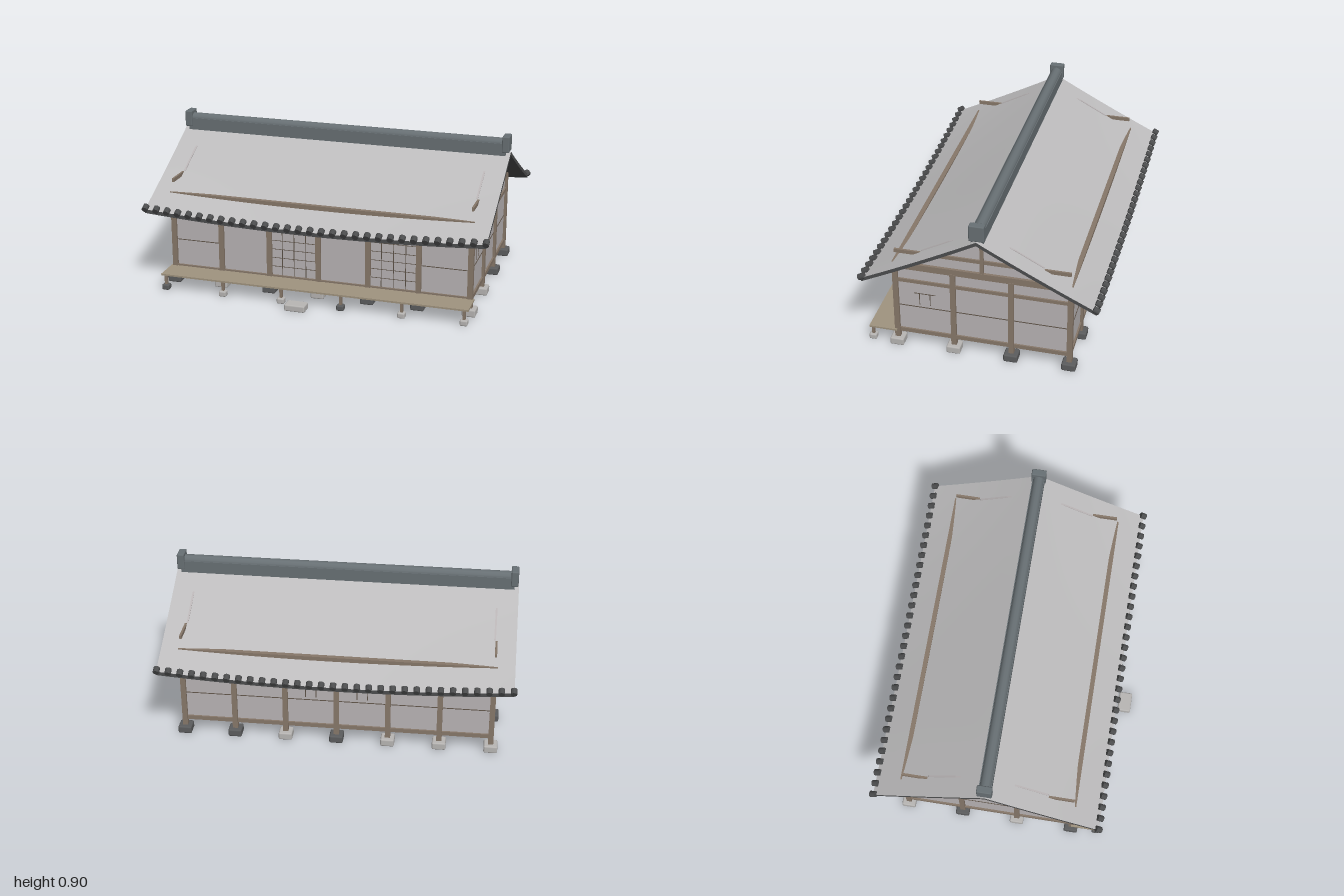
import * as THREE from 'three';
import { RoundedBoxGeometry } from 'three/addons/geometries/RoundedBoxGeometry.js';

const mat = (name, color) => Object.assign(new THREE.MeshStandardMaterial({ color }), { name });

export function createModel() {
  const model = new THREE.Group();
  model.name = 'farmhouse';
  const wood = mat('wood', 0x87786a);
  const deckWood = mat('deck wood', 0xa0947f);
  const plaster = mat('plaster', 0xb9b4b5);
  const roofGrey = mat('roof grey', 0xbdbcbd);
  const tileDark = mat('dark tile', 0x4c4d4e);
  const ridgeGrey = mat('ridge grey', 0x687074);
  const lightStone = mat('light stone', 0xb8b6b4);
  const darkStone = mat('dark stone', 0x5c5d5e);
  const lattice = mat('lattice', 0x5e5348);

  const add = (name, geometry, material, x = 0, y = 0, z = 0, parent = model) => {
    const mesh = new THREE.Mesh(geometry, material);
    mesh.name = name;
    mesh.position.set(x, y, z);
    parent.add(mesh);
    return mesh;
  };
  // Box given by its low and high corners
  const span = (name, material, x0, x1, y0, y1, z0, z1) =>
    add(name, new THREE.BoxGeometry(x1 - x0, y1 - y0, z1 - z0), material,
      (x0 + x1) / 2, (y0 + y1) / 2, (z0 + z1) / 2);
  const stone = (name, material, x, z, w, h, d) =>
    add(name, new RoundedBoxGeometry(w, h, d, 1, 0.009), material, x, h / 2 + 0.006, z);

  const CZ = -0.038, X = 0.875, FRONT = 0.45, BACK = -0.525;
  const bay = (2 * X) / 6, sideBay = (FRONT - BACK) / 3;

  // Walls and floor
  span('walls', plaster, -X, X, 0.09, 0.53, BACK, FRONT);

  // Posts on foundation stones; D = dark, L = light
  const post = (x, z, dark) => {
    span('post', wood, x - 0.015, x + 0.015, 0.045, 0.52, z - 0.015, z + 0.015);
    stone('foundationStone', dark ? darkStone : lightStone, x, z, 0.078, 0.045, 0.08);
  };
  const frontTone = 'DLDLDDL', backTone = 'LLLDLDD';
  for (let i = 0; i < 7; i++) {
    post(-X + i * bay, FRONT, frontTone[i] === 'D');
    post(-X + i * bay, BACK, backTone[i] === 'D');
  }
  for (const s of [-1, 1]) {
    post(s * X, FRONT - sideBay, false);
    post(s * X, FRONT - 2 * sideBay, true);
  }

  // Horizontal timbers around the walls
  for (const [y0, y1] of [[0.088, 0.112], [0.425, 0.445]]) {
    for (const z of [FRONT, BACK]) span('longRail', wood, -X, X, y0, y1, z - 0.01, z + 0.01);
    for (const s of [-1, 1]) span('sideRail', wood, s * X - 0.01, s * X + 0.01, y0, y1, BACK, FRONT);
  }
  for (const z of [FRONT, BACK]) span('wallPlate', wood, -0.89, 0.89, 0.52, 0.554, z - 0.013, z + 0.013);

  // Roof height at x, with t running from ridge (0) to eave (1)
  const RUN = 0.645, HALF = 0.985;
  const roofY = (x, t) => 0.815 - 0.33 * t - 0.024 * t * (1 - t)
    - 0.036 * Math.pow(t, 1.4) * (1 - (x / HALF) ** 2);

  // Gable ends: infill, tie beam, king post
  for (const s of [-1, 1]) {
    const pt = (t, off) => [t * RUN, roofY(0.865, t) + off];
    const half = [pt(0.28, 0.004), pt(0.52, 0.004), pt(0.55, -0.012), [0.46, 0.55]];
    const shape = new THREE.Shape();
    shape.moveTo(0, 0.795);
    half.forEach(([z, y]) => shape.lineTo(z, y));
    [...half].reverse().forEach(([z, y]) => shape.lineTo(-z, y));
    shape.closePath();
    const geo = new THREE.ExtrudeGeometry(shape, { depth: 0.01, bevelEnabled: false });
    geo.translate(0, 0, -0.005).rotateY(Math.PI / 2);
    add('gableWall', geo, plaster, s * 0.866, 0, CZ);
    const x = s * X;
    span('gableBeam', wood, x - 0.012, x + 0.012, 0.512, 0.55, BACK - 0.01, FRONT + 0.008);
    span('tieBeam', wood, x - 0.006, x + 0.006, 0.61, 0.631, BACK, FRONT);
    span('kingPost', wood, x - 0.01, x + 0.01, 0.55, 0.795, CZ - 0.01, CZ + 0.01);
  }

  // Roof slopes: curved slabs with round tile ends along the eaves
  for (const s of [1, -1]) {
    const slope = new THREE.Group();
    slope.name = s > 0 ? 'frontSlope' : 'backSlope';
    slope.position.z = CZ;
    slope.rotation.y = s > 0 ? 0 : Math.PI;
    model.add(slope);
    const geo = new THREE.BoxGeometry(2 * HALF, 1, 1, 30, 1, 10);
    const p = geo.attributes.position;
    for (let i = 0; i < p.count; i++) {
      const t = p.getZ(i) + 0.5, x = p.getX(i);
      p.setY(i, roofY(x, t) - (p.getY(i) < 0 ? 0.022 : 0));
      p.setZ(i, t * RUN);
    }
    geo.computeVertexNormals();
    add('roofSlab', geo, [tileDark, tileDark, roofGrey, tileDark, tileDark, tileDark], 0, 0, 0, slope);
    const tile = new THREE.CylinderGeometry(0.018, 0.018, 0.034, 10);
    tile.rotateX(Math.PI / 2 + 0.48);
    for (let i = 0; i <= 30; i++) {
      const x = -0.982 + (i * 1.964) / 30;
      add('eaveTile', tile, tileDark, x, roofY(x, 1) + 0.009, RUN - 0.002, slope);
    }
  }

  // Ridge with end blocks
  span('ridgeBase', ridgeGrey, -0.96, 0.96, 0.795, 0.866, CZ - 0.035, CZ + 0.035);
  const cap = add('ridgeCap', new THREE.CylinderGeometry(0.032, 0.032, 1.92, 12), ridgeGrey, 0, 0.861, CZ);
  cap.rotation.z = Math.PI / 2;
  for (const s of [-1, 1])
    add('ridgeEnd', new RoundedBoxGeometry(0.042, 0.094, 0.085, 1, 0.006), ridgeGrey, s * 0.96, 0.862, CZ);

  // Veranda on short posts, with a step stone
  span('verandaDeck', deckWood, -0.9, 0.9, 0.093, 0.103, FRONT, 0.612);
  for (let i = 0; i < 6; i++) {
    const x = -X + i * 0.35;
    span('verandaPost', wood, x - 0.008, x + 0.008, 0.03, 0.094, 0.589, 0.605);
    stone('verandaStone', i % 3 ? lightStone : darkStone, x, 0.597, 0.044, 0.034, 0.044);
  }
  stone('stepStone', lightStone, -0.063, 0.665, 0.12, 0.04, 0.078);

  // Thin wall battens at mid height
  const batten = 0.265, w = 0.002;
  for (const s of [-1, 1]) {
    span('sideBatten', lattice, s * X - 0.003, s * X + 0.003, batten - w, batten + w, BACK, FRONT);
    const x = s * 2.5 * bay;
    span('frontBatten', lattice, x - bay / 2, x + bay / 2, batten - w, batten + w, FRONT, FRONT + 0.003);
  }
  span('backBatten', lattice, -X, X, batten - w, batten + w, BACK - 0.003, BACK);

  // Lattice sliding doors in two front bays
  for (const c of [-0.5 * bay, 1.5 * bay]) {
    for (const k of [-1, 0, 1])
      span('doorBar', lattice, c + k * 0.07 - w, c + k * 0.07 + w, 0.112, 0.425, FRONT, FRONT + 0.002);
    for (let j = 1; j < 6; j++) {
      const y = 0.112 + j * 0.052;
      span('doorRail', lattice, c - 0.13, c + 0.13, y - 0.0015, y + 0.0015, FRONT, FRONT + 0.002);
    }
  }

  // Small barred windows: two at the back, one on the left side
  const barredWindow = (x, z, turn) => {
    const g = new THREE.Group();
    g.name = 'barredWindow';
    g.position.set(x, 0.33, z);
    g.rotation.y = turn;
    model.add(g);
    add('windowRail', new THREE.BoxGeometry(0.12, 0.004, 0.004), lattice, 0, 0.025, 0, g);
    for (const k of [-1, 1])
      add('windowBar', new THREE.BoxGeometry(0.004, 0.075, 0.004), lattice, k * 0.03, -0.01, 0, g);
  };
  for (const s of [-1, 1]) barredWindow(s * bay / 2, BACK, Math.PI);
  barredWindow(X, FRONT - sideBay / 2, Math.PI / 2);

  return model;
}
